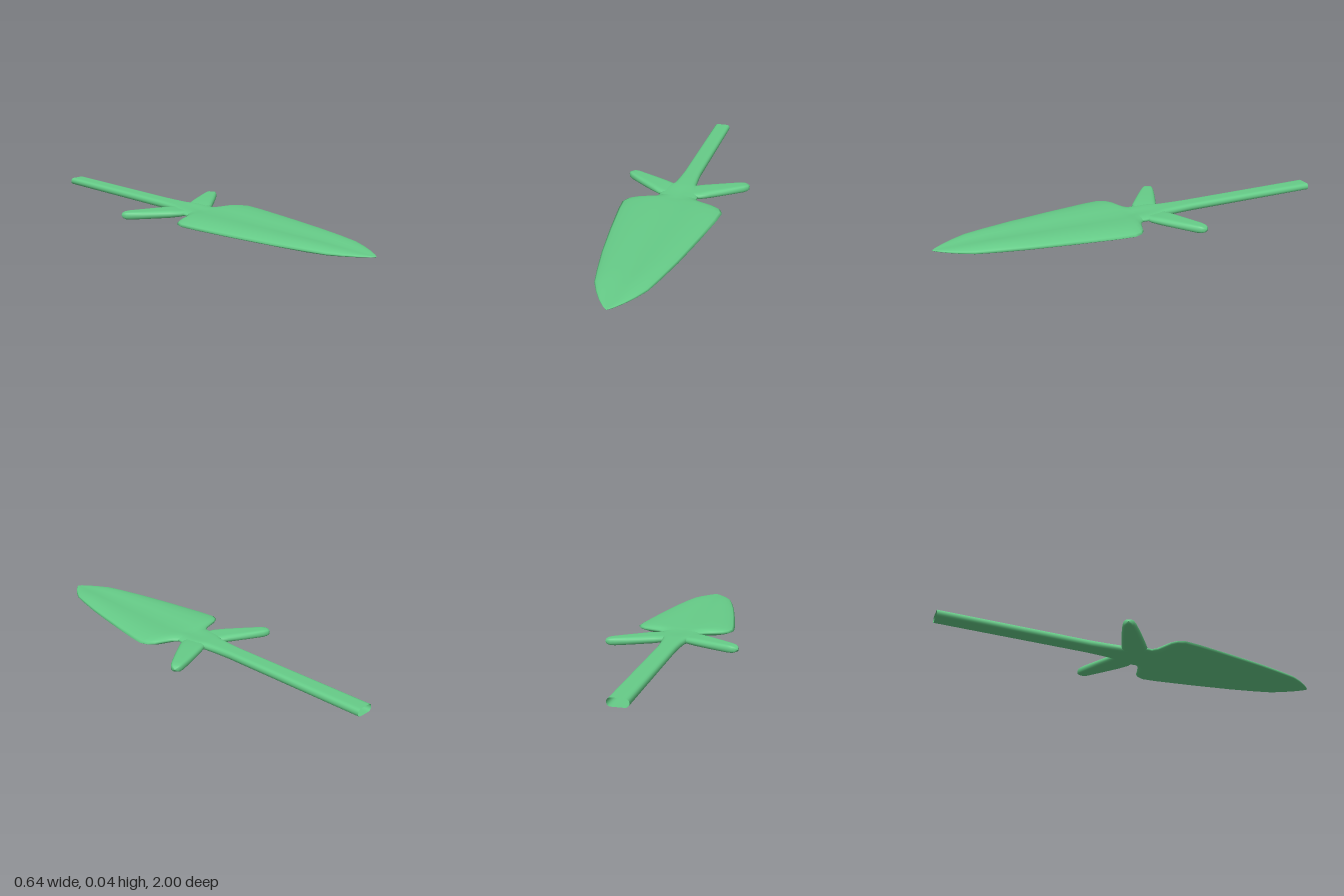
import * as THREE from 'three';

const MID = 0.022; // height of the flat mid-plane
const material = new THREE.MeshStandardMaterial({ color: 0x66cc88, side: THREE.DoubleSide });

// Half cross-section: relative thickness from the centre (u = 0) to the edge (u = 1)
const U = [0, 0.25, 0.5, 0.7, 0.85, 0.95, 1];
const ROUND = [1, 1, 1, 0.97, 0.78, 0.5, 0];
const GROOVED = [0.62, 0.85, 1, 0.88, 0.62, 0.33, 0];

// Closed ring, counter-clockwise; blend 0 = rounded bar, 1 = grooved blade
function ring(w, h, blend) {
  const quarter = U.map((u, i) => [u * w, h * THREE.MathUtils.lerp(ROUND[i], GROOVED[i], blend)]);
  const top = [...quarter].reverse().concat(quarter.slice(1).map(([x, y]) => [-x, y]));
  const bottom = top.slice(1, -1).reverse().map(([x, y]) => [x, -y]);
  return top.concat(bottom);
}

// Skin through stations [z, half width, half thickness, blend]
function loft(name, stations) {
  const positions = [], index = [];
  let n = 0;
  stations.forEach(([z, w, h, blend = 0], s) => {
    const pts = ring(w, h, blend);
    n = pts.length;
    pts.forEach(([x, y]) => positions.push(x, y, z));
    if (s === 0) return;
    for (let i = 0; i < n; i++) {
      const a = (s - 1) * n + i, b = (s - 1) * n + (i + 1) % n;
      index.push(a, b, b + n, a, b + n, a + n);
    }
  });
  const geometry = new THREE.BufferGeometry();
  geometry.setAttribute('position', new THREE.Float32BufferAttribute(positions, 3));
  geometry.setIndex(index);
  geometry.computeVertexNormals();
  const mesh = new THREE.Mesh(geometry, material);
  mesh.name = name;
  mesh.position.y = MID;
  return mesh;
}

export function createModel() {
  const group = new THREE.Group();
  group.name = 'spear';

  // Hollow shaft, open at the back, flaring into the neck
  group.add(loft('shaft', [
    [-1, 0.045, 0.018], [-0.6, 0.045, 0.018], [-0.28, 0.045, 0.018],
    [-0.2, 0.05, 0.018], [-0.13, 0.058, 0.018], [-0.09, 0.082, 0.017],
    [-0.05, 0.096, 0.015, 0.3], [-0.01, 0.097, 0.014, 0.5], [0.015, 0.096, 0.014, 0.6],
  ]));

  // Leaf-shaped blade with a shallow central groove
  group.add(loft('blade', [
    [0.015, 0.096, 0.014, 0.6], [0.035, 0.12, 0.015, 0.8], [0.05, 0.16, 0.017, 1],
    [0.065, 0.205, 0.019, 1], [0.085, 0.232, 0.02, 1], [0.12, 0.247, 0.021, 1],
    [0.2, 0.239, 0.022, 1], [0.4, 0.207, 0.022, 1], [0.6, 0.17, 0.021, 1],
    [0.74, 0.137, 0.02, 1], [0.83, 0.113, 0.015, 0.8], [0.89, 0.082, 0.01, 0.6],
    [0.94, 0.05, 0.006, 0.4], [0.98, 0.018, 0.003, 0.2], [0.995, 0.001, 0.0005],
  ]));

  // Two swept-back guard arms with rounded tips
  for (const side of [1, -1]) {
    const arm = loft(side > 0 ? 'leftGuard' : 'rightGuard', [
      [0, 0.05, 0.012], [0.04, 0.062, 0.015], [0.09, 0.057, 0.018],
      [0.16, 0.049, 0.018], [0.22, 0.041, 0.018], [0.275, 0.032, 0.018],
      [0.298, 0.025, 0.016], [0.311, 0.015, 0.011], [0.317, 0.001, 0.001],
    ]);
    arm.position.x = side * 0.043;
    arm.position.z = -0.052;
    arm.rotation.y = side * Math.atan2(0.275, -0.16);
    group.add(arm);
  }
  return group;
}
